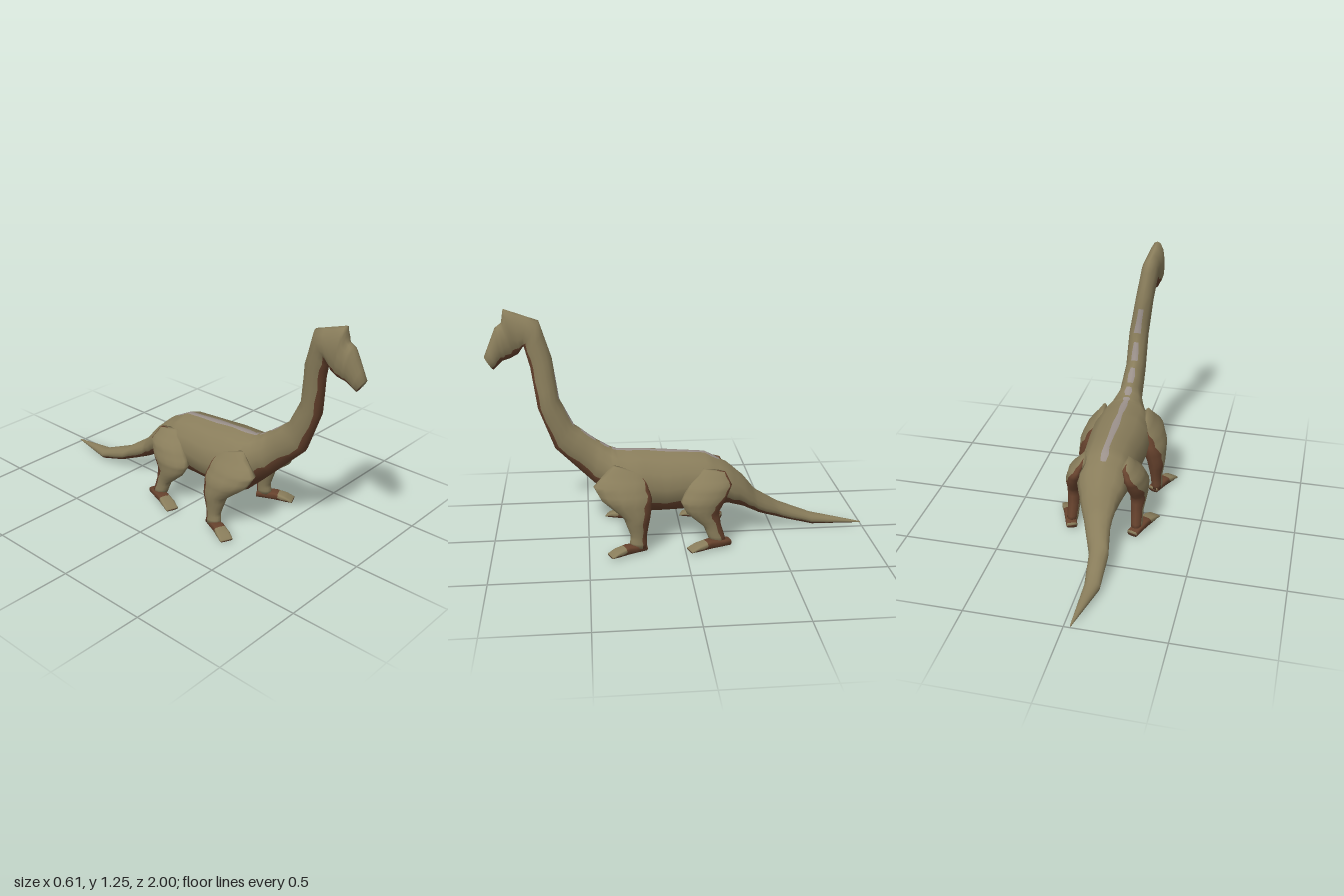
import * as THREE from 'three';

const mat = (name, color) => Object.assign(new THREE.MeshStandardMaterial({ color }), { name });
const { smoothstep } = THREE.MathUtils;

// Skin stretched over oval rings. Each ring: [upper z, upper y, lower z, lower y, centre x, half width]
function loft(rings, materials, { brown, square = 1, isGrey = () => false, topBrown = () => false }) {
  const rows = [], steps = 3, cols = 14;
  rings.forEach((r, i) => {
    if (i === rings.length - 1) return rows.push(r);
    for (let s = 0; s < steps; s++) rows.push(r.map((v, k) => v + (rings[i + 1][k] - v) * s / steps));
  });
  const bend = v => Math.sign(v) * Math.pow(Math.abs(v), square);
  const pos = [];
  rows.forEach((row, i) => {
    const [tz, ty, bz, by, x, w] = row;
    // Stripe and underside edges waver a little from row to row
    const g = Math.asin(Math.min(0.5, (0.017 + 0.004 * Math.sin(i * 2.3)) / w));
    const b = Math.PI - brown(row) - 0.08 * Math.sin(i * 2.1);
    const angles = [-g, 0];
    for (let k = 0; k < 4; k++) angles.push(g + (b - g) * k / 4);
    for (let k = 0; k < 4; k++) angles.push(b + (2 * Math.PI - 2 * b) * k / 4);
    for (let k = 0; k < 4; k++) angles.push(2 * Math.PI - b + (b - g) * k / 4);
    for (const a of angles) {
      const c = bend(Math.cos(a)) / 2;
      pos.push(x + w * bend(Math.sin(a)), (ty + by) / 2 + (ty - by) * c, (tz + bz) / 2 + (tz - bz) * c);
    }
  });
  const last = rows.length - 1, centre = pos.length / 3;
  for (const r of [rows[0], rows[last]]) pos.push(r[4], (r[1] + r[3]) / 2, (r[0] + r[2]) / 2);

  // Faces sorted by colour: 0 hide, 1 underside, 2 back stripe
  const faces = [[], [], []];
  for (let j = 0; j < cols; j++) {
    const n = (j + 1) % cols, under = j >= 6 && j < 10;
    for (let i = 0; i < last; i++) {
      const a = i * cols, c = a + cols;
      const kind = under || topBrown(i / last) ? 1 : j < 2 && isGrey(rows[i], i) ? 2 : 0;
      faces[kind].push(a + j, c + j, a + n, a + n, c + j, c + n);
    }
    faces[under ? 1 : 0].push(centre, j, n, centre + 1, last * cols + n, last * cols + j);
  }
  const geo = new THREE.BufferGeometry();
  geo.setAttribute('position', new THREE.Float32BufferAttribute(pos, 3));
  geo.setIndex(faces.flat());
  let start = 0;
  faces.forEach((f, k) => {
    if (f.length) geo.addGroup(start, f.length, k);
    start += f.length;
  });
  geo.computeVertexNormals();
  return new THREE.Mesh(geo, materials);
}

export function createModel() {
  const model = new THREE.Group();
  model.name = 'longNeckedDinosaur';
  const materials = [mat('olive hide', 0x897d5b), mat('brown underside', 0x66422d), mat('grey stripe', 0x9a908a)];
  const add = (name, object, parent = model) => { object.name = name; parent.add(object); };

  // Tail, trunk, neck and head in one continuous skin
  const tail = [
    [-1, 0.018, -1, 0.012, -0.035, 0.003],
    [-0.72, 0.07, -0.73, 0.005, -0.07, 0.04],
    [-0.53, 0.15, -0.57, 0.05, -0.06, 0.05],
    [-0.40, 0.24, -0.42, 0.11, -0.02, 0.068],
    [-0.33, 0.33, -0.33, 0.16, -0.005, 0.095],
  ];
  const trunk = [
    [-0.24, 0.41, -0.24, 0.19, 0, 0.13],
    [-0.12, 0.475, -0.13, 0.165, 0, 0.15],
    [0.20, 0.50, 0.20, 0.16, 0, 0.168],
    [0.34, 0.505, 0.30, 0.165, 0, 0.16],
    [0.38, 0.52, 0.41, 0.27, 0, 0.105],
  ];
  const neck = [
    [0.45, 0.565, 0.50, 0.36, 0, 0.065],
    [0.56, 0.65, 0.66, 0.52, 0, 0.056],
    [0.63, 0.79, 0.74, 0.74, 0, 0.055],
    [0.66, 1.0, 0.77, 0.95, -0.025, 0.05],
    [0.72, 1.19, 0.80, 1.06, -0.045, 0.048],
  ];
  const head = [
    [0.895, 1.25, 0.83, 1.015, -0.058, 0.048],
    [0.907, 1.18, 0.87, 0.995, -0.056, 0.047],
    [0.94, 1.155, 0.91, 0.983, -0.05, 0.043],
    [1.0, 1.01, 0.955, 0.943, -0.036, 0.026],
  ];
  add('body', loft([...tail, ...trunk, ...neck, ...head], materials, {
    brown: ([z]) => 1.12 - 0.35 * smoothstep(z, 0.38, 0.65),
    isGrey: ([z, y], i) => z > -0.2 && y < 1 && (z < 0.34 || i % 3 !== 2),
  }));

  // Legs run from hip or shoulder down; their brown side faces back
  const frontLeg = [
    [0.37, 0.46, 0.21, 0.41, 0.125, 0.02],
    [0.47, 0.36, 0.19, 0.36, 0.155, 0.057],
    [0.43, 0.29, 0.17, 0.29, 0.175, 0.07],
    [0.32, 0.20, 0.18, 0.20, 0.198, 0.05],
    [0.285, 0.10, 0.20, 0.10, 0.202, 0.032],
    [0.29, 0.045, 0.20, 0.03, 0.207, 0.03],
  ];
  const hindLeg = [
    [-0.10, 0.42, -0.22, 0.40, 0.115, 0.02],
    [-0.02, 0.34, -0.25, 0.34, 0.145, 0.055],
    [0.02, 0.26, -0.22, 0.27, 0.163, 0.06],
    [-0.01, 0.20, -0.18, 0.20, 0.173, 0.045],
    [-0.10, 0.12, -0.19, 0.13, 0.173, 0.033],
    [-0.13, 0.045, -0.22, 0.03, 0.177, 0.03],
  ];
  const limb = (rings, side) => loft(
    rings.map(([tz, ty, bz, by, x, w]) => [tz, ty, bz, by, x * side, w]), materials,
    { brown: ([, y]) => 1.1 - 0.65 * smoothstep(y, 0.18, 0.36) });

  // Foot along +z from its heel: brown at the back, hide-coloured toes
  const foot = length => loft(
    [[0, 0.045, 0.03], [0.5, 0.058, 0.031], [0.8, 0.045, 0.036], [1, 0.024, 0.034]]
      .map(([t, top, w]) => [t * length, top, t * length, 0.012, 0, w]),
    materials, { brown: () => 1.5, square: 0.6, topBrown: t => t < 0.4 });

  // Mirrored pairs of legs with splayed feet
  for (const [sideName, side] of [['left', 1], ['right', -1]]) {
    for (const [pair, rings, x, z, length, turn] of [
      ['Front', frontLeg, 0.19, 0.21, 0.2, 0.42],
      ['Hind', hindLeg, 0.165, -0.235, 0.23, 0.35],
    ]) {
      const leg = new THREE.Group();
      add(sideName + pair + 'Leg', leg);
      add('limb', limb(rings, side), leg);
      const paw = foot(length);
      paw.position.set(x * side, 0, z);
      paw.rotation.y = turn * side;
      add('foot', paw, leg);
    }
  }
  return model;
}
